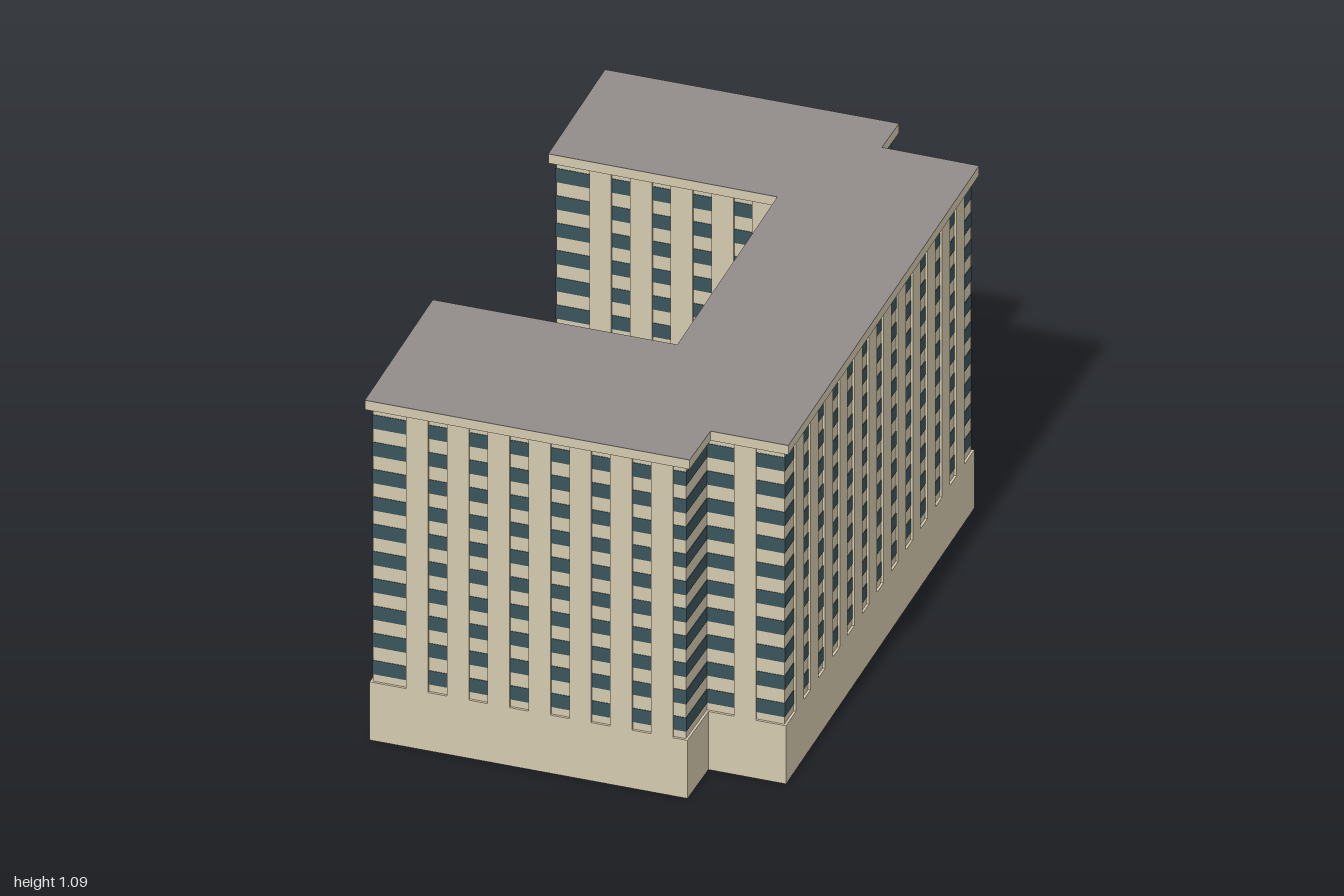
import * as THREE from 'three';
import { mergeGeometries } from 'three/addons/utils/BufferGeometryUtils.js';

// Roof outline as [x, z], plus the bay layout of the wall that starts there:
// bays = windows between piers (null = one continuous band), start = width of first corner window
const OUTLINE = [
  { p: [0.26, -0.99], bays: 5, start: 0.125 },
  { p: [0.885, -0.425], bays: null },
  { p: [0.795, -0.33], bays: 0 },
  { p: [1.0, -0.14], bays: 11 },
  { p: [-0.035, 0.985], bays: 0 },
  { p: [-0.2, 0.835], bays: null },
  { p: [-0.31, 0.95], bays: 6, start: 0.035 },
  { p: [-1.0, 0.325], bays: 3 },
  { p: [-0.63, -0.08], bays: 4, start: 0.095 },
  { p: [-0.11, 0.39], bays: 6 },
  { p: [0.435, -0.205], bays: 4, start: 0.03 },
  { p: [-0.05, -0.65], bays: 2 },
];
const PIER = 0.063, WINDOW = 0.054;
const FLOORS = 10, FLOOR_HEIGHT = 0.0868, FIRST_SILL = 0.208, WINDOW_HEIGHT = 0.044;
const BASE_TOP = 0.185, WALL_TOP = 1.055, ROOF_TOP = 1.085;
const BASE_INSET = 0.01, WALL_INSET = 0.017;

const points = OUTLINE.map(({ p }) => new THREE.Vector2(p[0], p[1]));

// Outward normal of the edge from a to b
function edgeNormal(a, b) {
  const d = b.clone().sub(a).normalize();
  return new THREE.Vector2(d.y, -d.x);
}

// Outline moved inward by a distance
function inset(distance) {
  const n = points.length;
  return points.map((p, i) => {
    const n1 = edgeNormal(points[(i + n - 1) % n], p);
    const n2 = edgeNormal(p, points[(i + 1) % n]);
    const k = -distance / (1 + n1.dot(n2));
    return p.clone().add(n1.add(n2).multiplyScalar(k));
  });
}

// Prism over an outline between two heights
function slab(name, outline, bottom, top, material) {
  const shape = new THREE.Shape(outline.map((p) => new THREE.Vector2(p.x, -p.y)));
  const geometry = new THREE.ExtrudeGeometry(shape, { depth: top - bottom, bevelEnabled: false });
  geometry.rotateX(-Math.PI / 2).translate(0, bottom, 0);
  const mesh = new THREE.Mesh(geometry, material);
  mesh.name = name;
  return mesh;
}

export function createModel() {
  const wallMaterial = new THREE.MeshStandardMaterial({ color: 0xd4c9ae });
  wallMaterial.name = 'beige wall';
  const glassMaterial = new THREE.MeshStandardMaterial({ color: 0x3b545c });
  glassMaterial.name = 'dark teal glass';
  const roofMaterial = new THREE.MeshStandardMaterial({ color: 0x918c89 });
  roofMaterial.name = 'grey roof';

  const model = new THREE.Group();
  model.name = 'apartmentBuilding';
  const wall = inset(WALL_INSET);

  model.add(
    slab('base', inset(BASE_INSET), 0, BASE_TOP, wallMaterial),
    slab('upperWalls', wall, BASE_TOP, WALL_TOP, wallMaterial),
    slab('cornice', points, WALL_TOP, ROOF_TOP - 0.002, wallMaterial),
    slab('roof', points, ROOF_TOP - 0.002, ROOF_TOP, roofMaterial),
  );

  // Piers and window rows on every wall
  OUTLINE.forEach(({ bays, start }, i) => {
    const a = wall[i], b = wall[(i + 1) % wall.length];
    const length = a.distanceTo(b);
    const dir = b.clone().sub(a).normalize();
    const normal = edgeNormal(a, b);

    // Box on the wall from s0 to s1 along it and y0 to y1 in height
    const wallBox = (s0, s1, y0, y1, depthIn, depthOut) => {
      const out = (depthOut - depthIn) / 2;
      const c = a.clone().addScaledVector(dir, (s0 + s1) / 2).addScaledVector(normal, out);
      return new THREE.BoxGeometry(s1 - s0, y1 - y0, depthIn + depthOut)
        .rotateY(Math.atan2(-dir.y, dir.x))
        .translate(c.x, (y0 + y1) / 2, c.y);
    };

    const piers = [], windows = [], spans = [];
    if (bays === null) {
      spans.push([0, length]);
    } else {
      const used = bays * WINDOW + (bays + 1) * PIER;
      let s = start ?? (length - used) / 2;
      spans.push([0, s]);
      for (let k = 0; k <= bays; k++) {
        piers.push(wallBox(s, s + PIER, BASE_TOP, WALL_TOP, 0.002, WALL_INSET - BASE_INSET));
        s += PIER;
        spans.push([s, k < bays ? s + WINDOW : length]);
        s += WINDOW;
      }
    }
    for (const [s0, s1] of spans) {
      for (let f = 0; f < FLOORS; f++) {
        const y = FIRST_SILL + f * FLOOR_HEIGHT;
        windows.push(wallBox(s0 - 0.001, s1 + 0.001, y, y + WINDOW_HEIGHT, 0.002, 0.0015));
      }
    }

    const side = new THREE.Group();
    side.name = `facade${i + 1}`;
    const glass = new THREE.Mesh(mergeGeometries(windows), glassMaterial);
    glass.name = 'windows';
    side.add(glass);
    if (piers.length) {
      const pierMesh = new THREE.Mesh(mergeGeometries(piers), wallMaterial);
      pierMesh.name = 'piers';
      side.add(pierMesh);
    }
    model.add(side);
  });

  return model;
}
